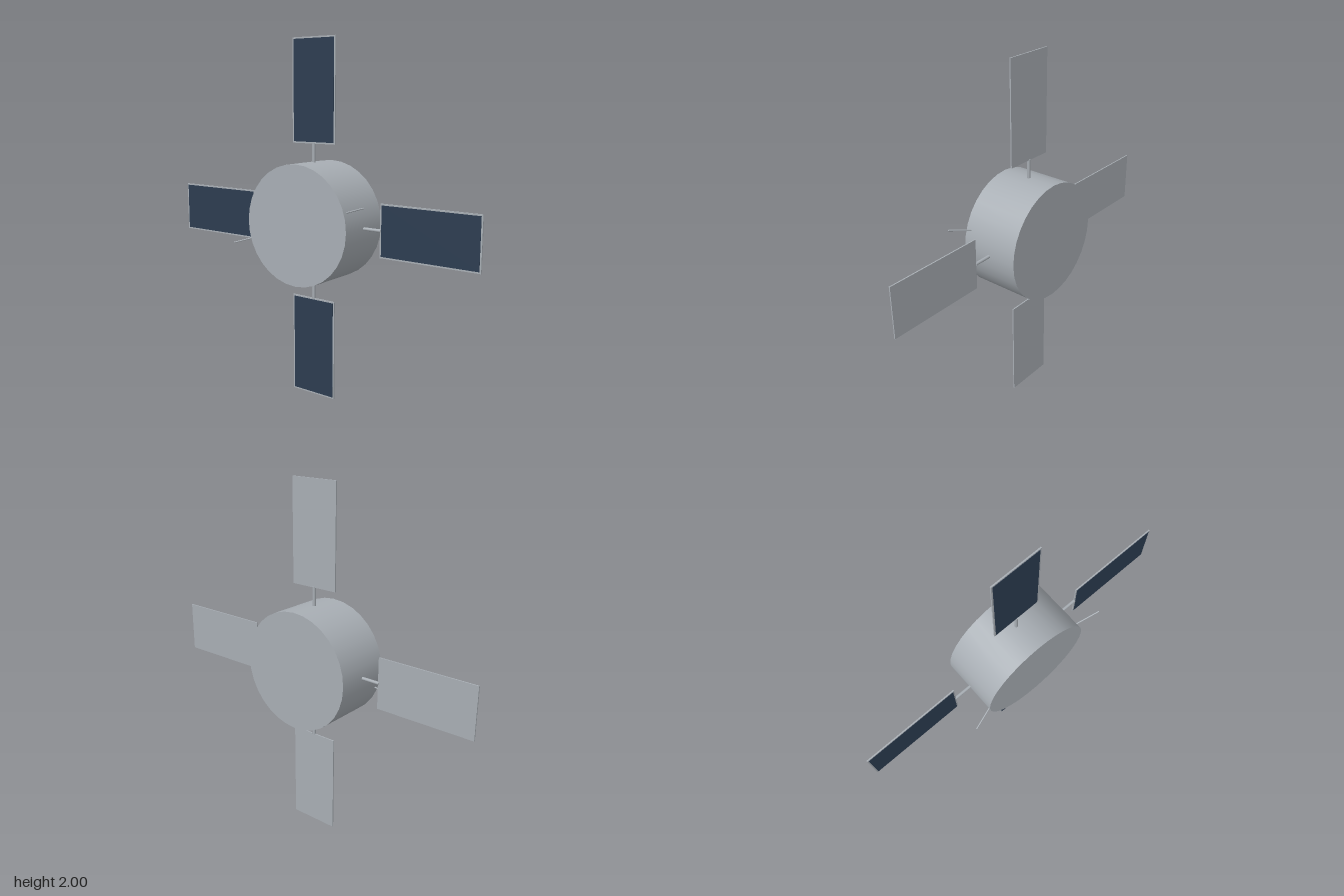
import * as THREE from 'three';

const material = (name, color) => {
  const m = new THREE.MeshStandardMaterial({ color });
  m.name = name;
  return m;
};

export function createModel() {
  const metal = material('pale grey metal', 0xa8aeb4);
  const cells = material('dark blue cells', 0x2c3c50);
  const Z = -0.007; // plane of the drum centre, booms and panels

  const model = new THREE.Group();
  model.name = 'satellite';

  const add = (parent, name, geometry, mat, x, y, z) => {
    const mesh = new THREE.Mesh(geometry, mat);
    mesh.name = name;
    mesh.position.set(x, y, z);
    parent.add(mesh);
    return mesh;
  };

  // Straight round bar between two points
  const bar = (parent, name, a, b, radius) => {
    const dir = b.clone().sub(a);
    const mid = a.clone().add(b).multiplyScalar(0.5);
    const geometry = new THREE.CylinderGeometry(radius, radius, dir.length(), 12);
    const mesh = add(parent, name, geometry, metal, mid.x, mid.y, mid.z);
    mesh.quaternion.setFromUnitVectors(new THREE.Vector3(0, 1, 0), dir.normalize());
  };

  // Drum body, axis along z
  const drum = new THREE.CylinderGeometry(0.333, 0.333, 0.333, 32).rotateX(Math.PI / 2);
  add(model, 'body', drum, metal, 0, 1, Z);

  // Four solar wings around the drum, each a boom, a backing panel and its cells
  for (let i = 0; i < 4; i++) {
    const wing = new THREE.Group();
    wing.name = 'solarWing' + (i + 1);
    wing.position.set(0, 1, Z);
    wing.rotation.z = i * Math.PI / 2;
    bar(wing, 'boom', new THREE.Vector3(0, 0.3, 0), new THREE.Vector3(0, 0.437, 0), 0.009);
    add(wing, 'panel', new THREE.BoxGeometry(0.287, 0.567, 0.007), metal, 0, 0.7165, 0);
    add(wing, 'solarCells', new THREE.BoxGeometry(0.27, 0.55, 0.002), cells, 0, 0.7165, 0.004);
    model.add(wing);
  }

  // Two thin antennas, half a turn apart, splayed outward and forward
  for (const s of [1, -1]) {
    bar(model, s > 0 ? 'leftAntenna' : 'rightAntenna',
      new THREE.Vector3(s * 0.28, 1 + s * 0.09, 0.12),
      new THREE.Vector3(s * 0.443, 1 + s * 0.141, 0.167), 0.004);
  }

  return model;
}
